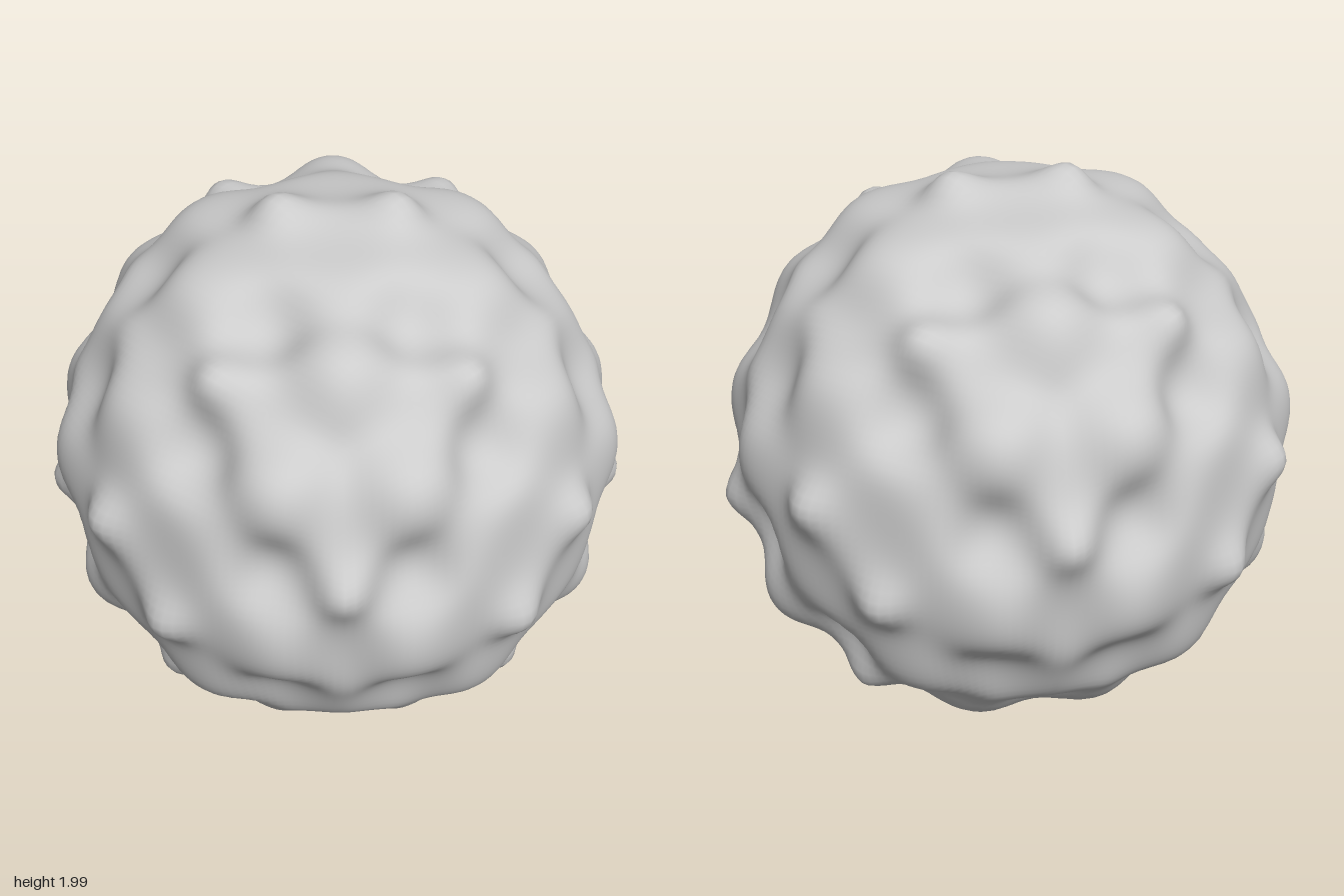
import * as THREE from 'three';
import { mergeVertices } from 'three/addons/utils/BufferGeometryUtils.js';

const RADIUS = 0.949;    // undisplaced radius
const AMPLITUDE = 0.076; // bump height
const FREQUENCY = 10.54; // bump spacing

// Product of three sine waves, measured at a point in space
const wave = (p) =>
  Math.sin(FREQUENCY * p.x) * Math.sin(FREQUENCY * p.y) * Math.sin(FREQUENCY * p.z);

// Distance from the centre to the bumpy surface along a direction
function surfaceRadius(dir) {
  const p = new THREE.Vector3();
  let r = RADIUS;
  for (let i = 0; i < 40; i++) {
    const next = RADIUS + AMPLITUDE * wave(p.copy(dir).multiplyScalar(r));
    r = (r + next) / 2;
  }
  return r;
}

export function createModel() {
  const group = new THREE.Group();
  group.name = 'bumpySphere';

  // Evenly divided cube, rounded into a ball and pushed out by the wave
  let geometry = new THREE.BoxGeometry(2, 2, 2, 48, 48, 48);
  geometry.deleteAttribute('normal');
  geometry.deleteAttribute('uv');
  geometry = mergeVertices(geometry);
  geometry.clearGroups();

  const pos = geometry.attributes.position;
  const v = new THREE.Vector3();
  const even = (t) => Math.tan((t * Math.PI) / 4);
  for (let i = 0; i < pos.count; i++) {
    v.fromBufferAttribute(pos, i);
    v.set(even(v.x), even(v.y), even(v.z)).normalize();
    v.multiplyScalar(surfaceRadius(v));
    pos.setXYZ(i, v.x, v.y, v.z);
  }
  geometry.computeVertexNormals();

  // Stand the ball on the ground
  geometry.computeBoundingBox();
  geometry.translate(0, -geometry.boundingBox.min.y, 0);

  const ball = new THREE.Mesh(geometry, new THREE.MeshStandardMaterial({ color: 0xcccccc }));
  ball.name = 'bumpyShell';
  group.add(ball);
  return group;
}
